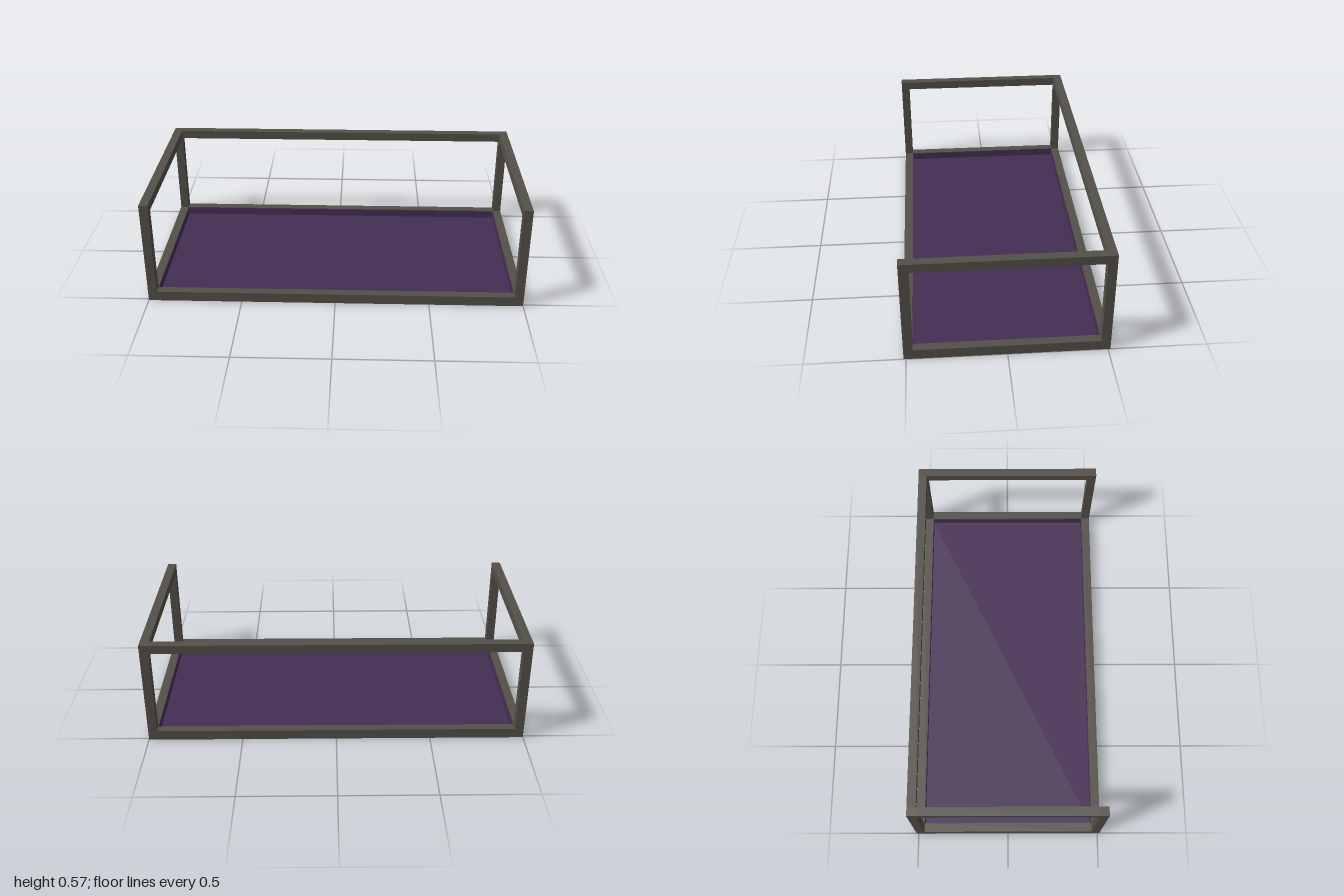
import * as THREE from 'three';

export function createModel() {
  const model = new THREE.Group();
  const frame = new THREE.MeshStandardMaterial({ color: 0x544f49 });
  frame.name = 'warm grey frame';
  const purple = new THREE.MeshStandardMaterial({ color: 0x442e53 });
  purple.name = 'purple lining';

  // Box given by its minimum and maximum corners
  const box = (name, material, [x0, y0, z0], [x1, y1, z1]) => {
    const mesh = new THREE.Mesh(new THREE.BoxGeometry(x1 - x0, y1 - y0, z1 - z0), material);
    mesh.position.set((x0 + x1) / 2, (y0 + y1) / 2, (z0 + z1) / 2);
    mesh.name = name;
    model.add(mesh);
  };

  const X = 1, Z = 0.512, H = 0.571, T = 0.047; // half width, half depth, height, beam
  const xi = X - T, zi = Z - T, railTop = 0.054, lining = 0.003;

  // Corner posts
  for (const sx of [-1, 1]) for (const sz of [-1, 1]) {
    const x = sx > 0 ? xi : -X, z = sz > 0 ? zi : -Z;
    box('cornerPost', frame, [x, 0, z], [x + T, H, z + T]);
  }

  // Side rails, bottom and top
  for (const x of [-X, xi]) {
    box('lowerSideRail', frame, [x, 0, -zi], [x + T, railTop, zi]);
    box('upperSideRail', frame, [x, H - T, -zi], [x + T, H, zi]);
  }

  // Long rails; the front is open at the top
  box('lowerFrontRail', frame, [-xi, 0, zi], [xi, railTop, Z]);
  box('lowerBackRail', frame, [-xi, 0, -Z], [xi, railTop, -zi]);
  box('upperBackRail', frame, [-xi, H - T, -Z], [xi, H, -zi]);

  // Base plate with a purple floor and lined inner rail faces
  box('basePlate', frame, [-xi, 0, -zi], [xi, 0.004, zi]);
  box('floor', purple, [-xi, 0.004, -zi], [xi, 0.009, zi]);
  for (const s of [-1, 1]) {
    const z = s > 0 ? zi - lining : -zi, x = s > 0 ? xi - lining : -xi;
    box('longLining', purple, [-xi, 0.009, z], [xi, railTop - 0.002, z + lining]);
    box('sideLining', purple, [x, 0.009, -zi + lining], [x + lining, railTop - 0.002, zi - lining]);
  }
  return model;
}
